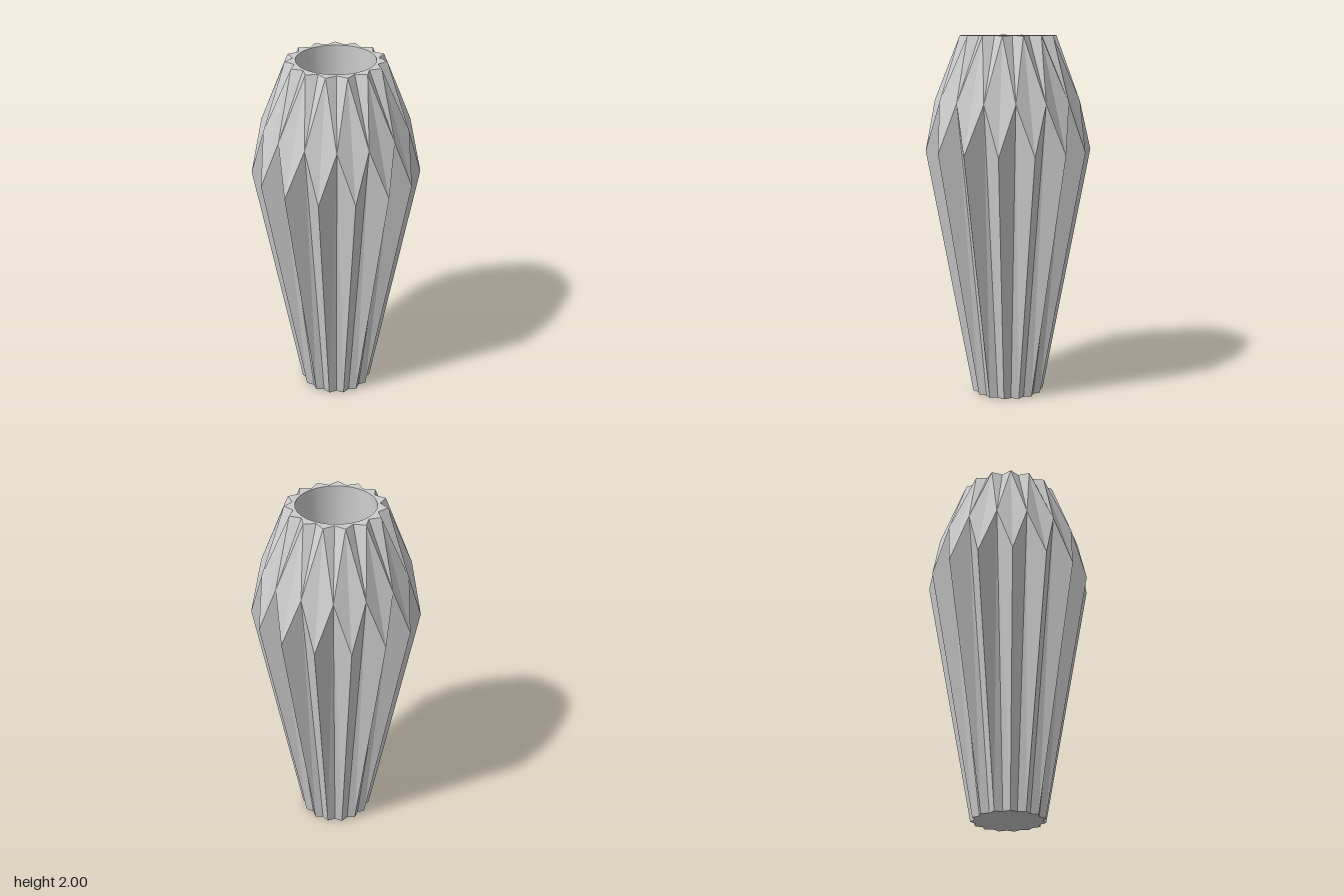
import * as THREE from 'three';

const POINTS = 15;
const STEP = Math.PI / POINTS; // ridge to neighbouring groove

// Ridge and groove heights/radii, from foot to rim
const RIDGE = [[0.2, 0], [0.457, 1.38], [0.265, 2]];
const GROOVE = [[0.178, 0], [0.4, 1.65], [0.225, 2]];
const HOLE_TOP = 0.21, HOLE_BOTTOM = 0.117, FLOOR = 0.12, HOLE_SIDES = 48;

const material = new THREE.MeshStandardMaterial({ color: 0xcccccc });
const facetedMaterial = new THREE.MeshStandardMaterial({ color: 0xcccccc, flatShading: true });

function addMesh(group, name, geometry, mat) {
  const mesh = new THREE.Mesh(geometry, mat);
  mesh.name = name;
  group.add(mesh);
}

// Pleated wall: each half pleat lies between a ridge and a groove
function pleatedWall() {
  const positions = [];
  const point = ([r, y], i) => [r * Math.cos(i * STEP), y, -r * Math.sin(i * STEP)];
  const tri = (a, b, c) => positions.push(...a, ...b, ...c);
  for (let k = 0; k < POINTS; k++) {
    for (const side of [1, -1]) {
      const ridge = RIDGE.map(p => point(p, 2 * k));
      const groove = GROOVE.map(p => point(p, 2 * k + side));
      const face = (a, b, c) => (side > 0 ? tri(a, b, c) : tri(a, c, b));
      face(ridge[0], groove[0], groove[1]);
      face(ridge[0], groove[1], ridge[1]);
      face(ridge[1], groove[1], ridge[2]);
      face(ridge[2], groove[1], groove[2]);
    }
  }
  const geometry = new THREE.BufferGeometry();
  geometry.setAttribute('position', new THREE.Float32BufferAttribute(positions, 3));
  geometry.computeVertexNormals();
  return geometry;
}

function starShape(ridgeRadius, grooveRadius) {
  const pts = [];
  for (let i = 0; i < 2 * POINTS; i++) {
    const r = i % 2 ? grooveRadius : ridgeRadius;
    pts.push(new THREE.Vector2(r * Math.cos(i * STEP), r * Math.sin(i * STEP)));
  }
  return new THREE.Shape(pts);
}

export function createModel() {
  const group = new THREE.Group();
  group.name = 'facetedVase';

  addMesh(group, 'pleatedWall', pleatedWall(), facetedMaterial);

  // Flat star-shaped rim around the round opening
  const rim = starShape(RIDGE[2][0], GROOVE[2][0]);
  const opening = [];
  for (let i = 0; i < HOLE_SIDES; i++) {
    const a = (i / HOLE_SIDES) * Math.PI * 2;
    opening.push(new THREE.Vector2(HOLE_TOP * Math.cos(a), HOLE_TOP * Math.sin(a)));
  }
  rim.holes.push(new THREE.Path(opening));
  addMesh(group, 'rim', new THREE.ShapeGeometry(rim).rotateX(-Math.PI / 2).translate(0, 2, 0), material);

  // Star-shaped underside
  const base = starShape(RIDGE[0][0], GROOVE[0][0]);
  addMesh(group, 'base', new THREE.ShapeGeometry(base).rotateX(Math.PI / 2), material);

  // Tapered round cavity and its floor
  const cavity = new THREE.CylinderGeometry(HOLE_TOP, HOLE_BOTTOM, 2 - FLOOR, HOLE_SIDES, 1, true);
  cavity.translate(0, (2 + FLOOR) / 2, 0);
  const inside = material.clone();
  inside.side = THREE.BackSide;
  addMesh(group, 'cavityWall', cavity, inside);
  const floor = new THREE.CircleGeometry(HOLE_BOTTOM, HOLE_SIDES);
  addMesh(group, 'cavityFloor', floor.rotateX(-Math.PI / 2).translate(0, FLOOR, 0), material);

  return group;
}
